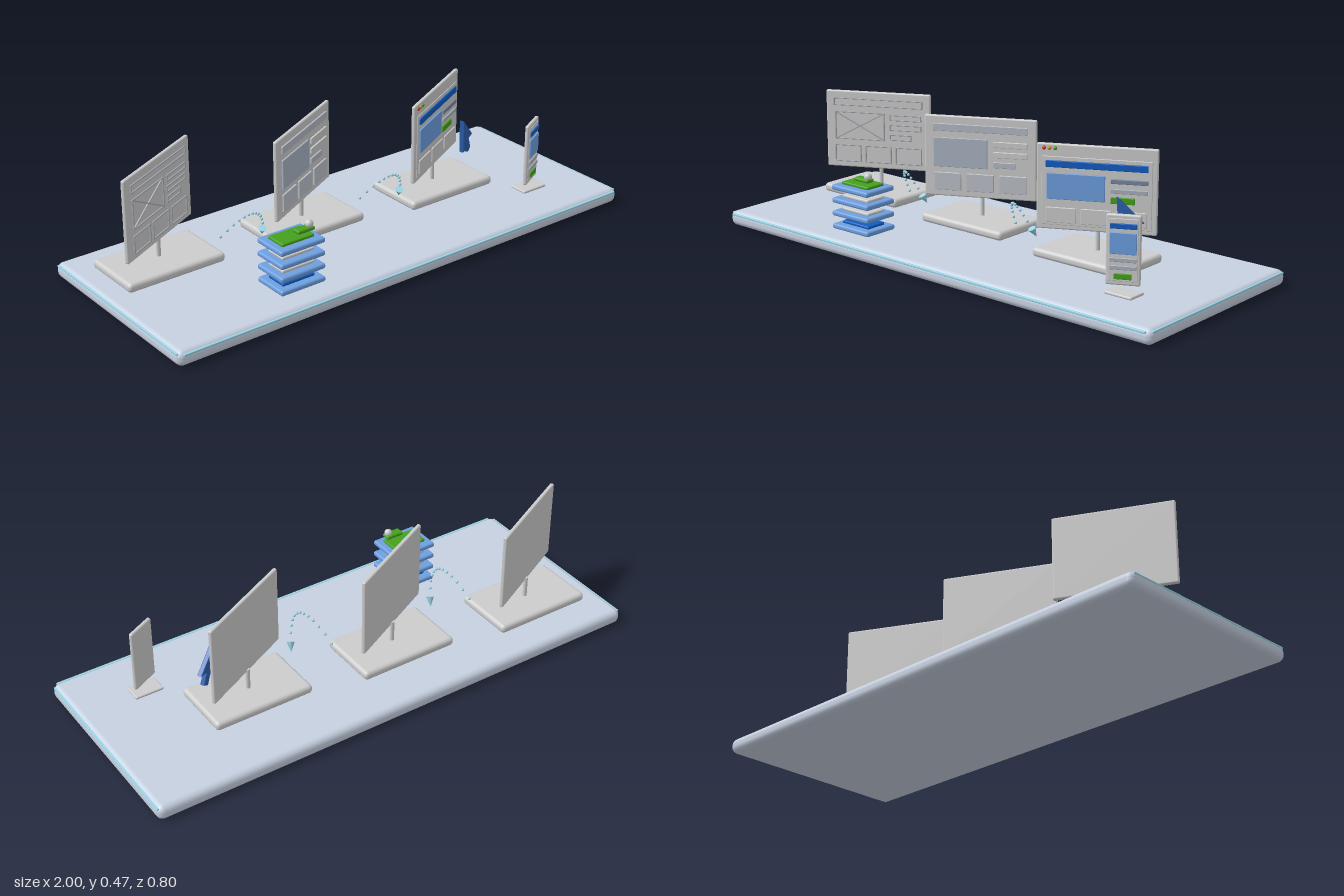
import * as THREE from 'three';
import { RoundedBoxGeometry } from 'three/addons/geometries/RoundedBoxGeometry.js';

const GREY = 0xcccccc, BLUE = 0x0f5cc0, SKY = 0x6d9fe0, GREEN = 0x45a01c, SLATE = 0x7585a0, CYAN = 0x9ad4e6, NAVY = 0x2c5fae;
const mats = {};
const mat = (c) => (mats[c] ??= new THREE.MeshStandardMaterial({ color: c }));

function add(parent, name, geo, color, x, y, z) {
  const m = new THREE.Mesh(geo, mat(color));
  m.name = name;
  m.position.set(x, y, z);
  parent.add(m);
  return m;
}

function box(parent, name, w, h, d, r, color, x, y, z) {
  const radius = Math.min(r, w * 0.49, h * 0.49, d * 0.49);
  return add(parent, name, new RoundedBoxGeometry(w, h, d, 3, radius), color, x, y, z);
}

// Raised rectangle on a screen, given by its edges
function tile(parent, name, x0, x1, y0, y1, color, z = 0.011) {
  return box(parent, name, x1 - x0, y1 - y0, 0.008, 0.002, color, (x0 + x1) / 2, (y0 + y1) / 2, z);
}

// Thin bar between two points on a screen
function bar(parent, name, x0, y0, x1, y1, color = 0xa2a6ac) {
  const b = box(parent, name, Math.hypot(x1 - x0, y1 - y0) + 0.004, 0.004, 0.006, 0.001, color, (x0 + x1) / 2, (y0 + y1) / 2, 0.011);
  b.rotation.z = Math.atan2(y1 - y0, x1 - x0);
}

function outline(parent, name, x0, x1, y0, y1) {
  bar(parent, name, x0, y0, x1, y0);
  bar(parent, name, x0, y1, x1, y1);
  bar(parent, name, x0, y0, x0, y1);
  bar(parent, name, x1, y0, x1, y1);
}

const TURN = 0.475;
const cards = [-0.125, 0, 0.125];

// Foot, stem and turned panel; returns the panel group for its contents
function monitor(root, name, x, z) {
  const g = new THREE.Group();
  g.name = name;
  g.position.set(x, 0, z);
  root.add(g);
  box(g, 'foot', 0.395, 0.035, 0.248, 0.015, GREY, 0, 0.0775, -0.005);
  add(g, 'stem', new THREE.CylinderGeometry(0.008, 0.008, 0.085, 20), GREY, 0, 0.134, -0.009);
  const panel = new THREE.Group();
  panel.name = 'panel';
  panel.rotation.y = TURN;
  g.add(panel);
  box(panel, 'screenBody', 0.428, 0.31, 0.016, 0.006, GREY, 0, 0.32, 0);
  return panel;
}

// Arrow-shaped pointer floating before the screen
function pointer(panel) {
  const s = new THREE.Shape([[0, 0], [0.008, -0.127], [0.033, -0.098], [0.056, -0.143], [0.075, -0.132],
    [0.054, -0.088], [0.09, -0.083]].map(([x, y]) => new THREE.Vector2(x, y)));
  const geo = new THREE.ExtrudeGeometry(s, { depth: 0.012, bevelSize: 0.003, bevelThickness: 0.003, bevelSegments: 2 });
  add(panel, 'pointer', geo, NAVY, 0.085, 0.315, 0.072);
}

// Beads along an arc, ending in a cone
function dottedArc(root, x, z) {
  const g = new THREE.Group();
  g.name = 'dottedArrow';
  g.position.set(x, 0, z);
  root.add(g);
  const start = new THREE.Vector3(0, 0.125, 0), end = new THREE.Vector3(0.138, 0.13, 0.06);
  const ctrl = new THREE.Vector3(0.075, 0.235, 0.1).multiplyScalar(2).addScaledVector(start, -0.5).addScaledVector(end, -0.5);
  const curve = new THREE.QuadraticBezierCurve3(start, ctrl, end);
  for (let i = 0; i < 12; i++) {
    const p = curve.getPoint(i / 12.5);
    add(g, 'bead', new THREE.SphereGeometry(0.0055, 12, 8), CYAN, p.x, p.y, p.z);
  }
  const tip = add(g, 'arrowhead', new THREE.ConeGeometry(0.015, 0.038, 20), CYAN, end.x, end.y, end.z);
  tip.quaternion.setFromUnitVectors(new THREE.Vector3(0, 1, 0), curve.getTangent(1));
}

export function createModel() {
  const root = new THREE.Group();
  root.name = 'designWorkflow';

  // Platform with edge strips
  box(root, 'platform', 2, 0.058, 0.8, 0.025, 0xc6d0e0, 0, 0.029, 0);
  box(root, 'frontStrip', 1.96, 0.008, 0.01, 0.002, CYAN, 0, 0.047, 0.399);
  for (const s of [-1, 1]) box(root, 'sideStrip', 0.01, 0.008, 0.77, 0.002, CYAN, s * 0.994, 0.047, 0);

  // Wireframe stage
  const wire = monitor(root, 'wireframeMonitor', -0.722, -0.146);
  outline(wire, 'headerOutline', -0.18, 0.18, 0.418, 0.445);
  outline(wire, 'imageOutline', -0.175, 0.025, 0.282, 0.39);
  bar(wire, 'imageCross', -0.175, 0.282, 0.025, 0.39);
  bar(wire, 'imageCross', -0.175, 0.39, 0.025, 0.282);
  for (const [y, w] of [[0.376, 0.125], [0.336, 0.125], [0.296, 0.085]]) {
    outline(wire, 'textOutline', 0.05, 0.05 + w, y - 0.01, y + 0.01);
  }
  for (const x of cards) outline(wire, 'cardOutline', x - 0.052, x + 0.052, 0.19, 0.255);

  // Grey mockup stage
  const mock = monitor(root, 'mockupMonitor', -0.14, -0.094);
  tile(mock, 'header', -0.18, 0.18, 0.417, 0.445, 0xb4bac4);
  tile(mock, 'image', -0.178, 0.028, 0.28, 0.392, 0xa9b4c2);
  tile(mock, 'textLine', 0.05, 0.18, 0.364, 0.386, GREY);
  tile(mock, 'textLine', 0.05, 0.18, 0.325, 0.347, GREY);
  tile(mock, 'button', 0.05, 0.135, 0.286, 0.308, 0xb4bac4);
  for (const x of cards) tile(mock, 'card', x - 0.052, x + 0.052, 0.19, 0.258, 0xbcc2ca);

  // Finished colour stage
  const final = monitor(root, 'finishedMonitor', 0.445, -0.041);
  tile(final, 'page', -0.195, 0.195, 0.182, 0.43, GREY, 0.007);
  [0xb8402c, 0xc88a20, GREEN].forEach((c, i) =>
    add(final, 'windowDot', new THREE.SphereGeometry(0.007, 16, 10), c, -0.188 + i * 0.02, 0.459, 0.009));
  tile(final, 'header', -0.18, 0.18, 0.392, 0.416, BLUE, 0.013);
  tile(final, 'image', -0.176, 0.03, 0.277, 0.371, SKY, 0.013);
  tile(final, 'textLine', 0.05, 0.18, 0.346, 0.362, SLATE, 0.013);
  tile(final, 'textLine', 0.05, 0.18, 0.311, 0.327, 0xa8b0bc, 0.013);
  tile(final, 'button', 0.05, 0.135, 0.274, 0.297, GREEN, 0.013);
  for (const x of cards) tile(final, 'card', x - 0.054, x + 0.054, 0.192, 0.247, GREY, 0.012);
  pointer(final);

  // Small handheld screen
  const phone = new THREE.Group();
  phone.name = 'handheldScreen';
  phone.position.set(0.733, 0, 0.188);
  phone.rotation.y = TURN;
  root.add(phone);
  box(phone, 'handheldBody', 0.118, 0.245, 0.016, 0.007, GREY, 0, 0.2155, 0);
  tile(phone, 'page', -0.05, 0.05, 0.108, 0.324, GREY, 0.006);
  tile(phone, 'header', -0.045, 0.045, 0.29, 0.308, BLUE);
  tile(phone, 'image', -0.045, 0.045, 0.203, 0.277, SKY);
  for (const y of [0.183, 0.156]) tile(phone, 'textLine', -0.045, 0.045, y - 0.007, y + 0.007, 0xa8b0bc);
  tile(phone, 'button', -0.03, 0.03, 0.116, 0.136, GREEN);
  box(root, 'handheldFoot', 0.112, 0.011, 0.076, 0.005, GREY, 0.735, 0.0645, 0.183);

  // Stack of component layers
  const stack = new THREE.Group();
  stack.name = 'layerStack';
  stack.position.set(-0.432, 0, 0.235);
  root.add(stack);
  [BLUE, GREY, GREY, GREEN].forEach((c, i) => {
    const y = 0.071 + i * 0.05;
    box(stack, 'layer', 0.187, 0.02, 0.145, 0.008, SKY, 0, y, 0);
    box(stack, 'layerPlate', 0.136, 0.012, 0.086, 0.005, c, 0, y + 0.0145, 0);
  });
  box(stack, 'toggle', 0.072, 0.014, 0.036, 0.006, GREEN, 0.034, 0.263, 0.027);
  add(stack, 'toggleKnob', new THREE.SphereGeometry(0.015, 24, 16), GREY, 0.056, 0.277, 0.027);

  // Dotted arrows between stages
  dottedArc(root, -0.505, -0.09);
  dottedArc(root, 0.08, -0.035);
  return root;
}
